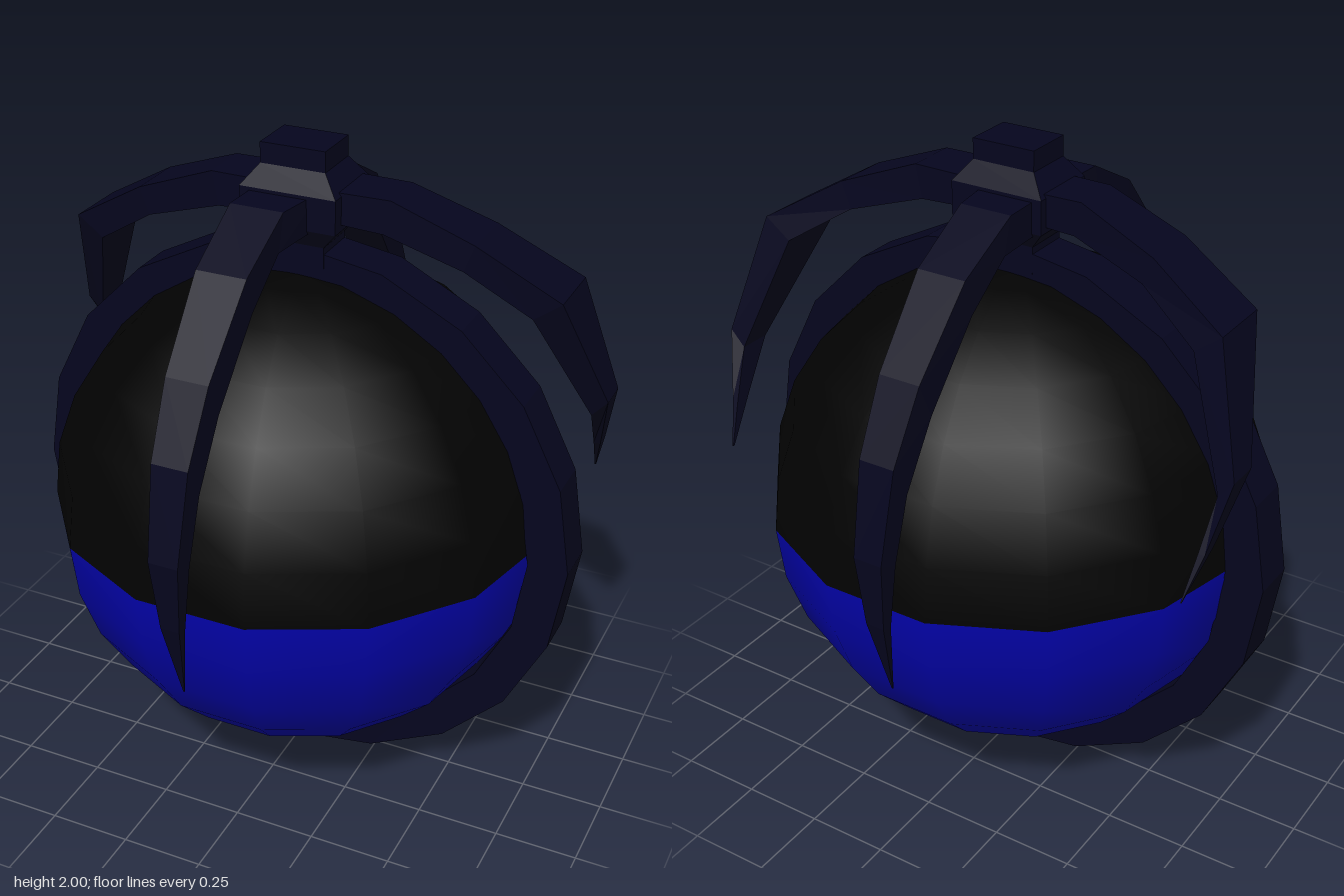
import * as THREE from 'three';

const navy = new THREE.MeshStandardMaterial({ color: 0x05051e });
navy.name = 'dark navy metal';
navy.flatShading = true;
const black = new THREE.MeshStandardMaterial({ color: 0x020202 });
black.name = 'black';
const blue = new THREE.MeshStandardMaterial({ color: 0x0202a6 });
blue.name = 'deep blue';

function add(group, name, geometry, material) {
  const mesh = new THREE.Mesh(geometry, material);
  mesh.name = name;
  group.add(mesh);
  return mesh;
}

// Regular polygon with a corner at the bottom
function polygon(PathType, radius, sides) {
  const points = [];
  for (let i = 0; i < sides; i++) {
    const a = (i / sides) * Math.PI * 2 - Math.PI / 2;
    points.push(new THREE.Vector2(Math.cos(a) * radius, Math.sin(a) * radius));
  }
  return new PathType(points);
}

// Four-sided loft. Section: [outer reach, outer height, inner reach, inner height, side a, side b]
function claw(sections, place, flip) {
  const positions = [];
  const index = [];
  for (const [ou, ov, iu, iv, a, b] of sections) {
    positions.push(...place(ou, ov, a), ...place(ou, ov, b), ...place(iu, iv, b), ...place(iu, iv, a));
  }
  const quad = (a, b, c, d) => index.push(...(flip ? [a, c, b, a, d, c] : [a, b, c, a, c, d]));
  for (let s = 0; s < sections.length - 1; s++) {
    for (let j = 0; j < 4; j++) {
      const k = (j + 1) % 4;
      quad(s * 4 + j, s * 4 + k, s * 4 + 4 + k, s * 4 + 4 + j);
    }
  }
  const e = (sections.length - 1) * 4;
  quad(0, 3, 2, 1);
  quad(e, e + 1, e + 2, e + 3);
  const geometry = new THREE.BufferGeometry();
  geometry.setAttribute('position', new THREE.Float32BufferAttribute(positions, 3));
  geometry.setIndex(index);
  const flat = geometry.toNonIndexed();
  flat.computeVertexNormals();
  return flat;
}

export function createModel() {
  const model = new THREE.Group();
  model.name = 'clawedOrb';

  // Two-tone orb
  const orb = new THREE.Group();
  orb.name = 'orb';
  orb.position.set(-0.01, 0.885, 0);
  model.add(orb);
  const half = Math.PI / 2;
  add(orb, 'upperOrb', new THREE.SphereGeometry(0.75, 14, 7, 0, Math.PI * 2, 0, half), black);
  add(orb, 'lowerOrb', new THREE.SphereGeometry(0.75, 14, 7, 0, Math.PI * 2, half, half), blue);

  // Flat ring around the orb
  const ringShape = polygon(THREE.Shape, 0.857, 20);
  ringShape.holes.push(polygon(THREE.Path, 0.737, 20));
  const ringGeometry = new THREE.ExtrudeGeometry(ringShape, { depth: 0.14, bevelEnabled: false });
  add(model, 'ring', ringGeometry, navy).position.set(-0.006, 0.857, -0.07);

  // Square stem with a wider hub
  const profile = [[0, 1.64], [0.092, 1.64], [0.092, 1.72], [0.145, 1.78], [0.145, 1.88],
    [0.098, 1.94], [0.098, 2], [0, 2]];
  const hub = add(model, 'hub', new THREE.LatheGeometry(
    profile.map(([w, y]) => new THREE.Vector2(w * Math.SQRT2, y)), 4, Math.PI / 4), navy);
  hub.scale.z = 0.78;
  hub.position.x = -0.007;

  // Long claws in front and behind
  const longClaw = [
    [0.05, 1.87, 0.05, 1.77, -0.12, 0.06],
    [0.22, 1.87, 0.25, 1.765, -0.125, 0.035],
    [0.43, 1.76, 0.4, 1.65, -0.12, 0.03],
    [0.63, 1.54, 0.58, 1.43, -0.11, 0.018],
    [0.74, 1.34, 0.685, 1.24, -0.1, 0.01],
    [0.798, 1.07, 0.735, 1.04, -0.09, 0],
    [0.778, 0.85, 0.745, 0.84, -0.073, -0.015],
    [0.715, 0.6, 0.712, 0.6, -0.047, -0.043],
  ];
  add(model, 'frontClaw', claw(longClaw, (u, v, w) => [w, v, u], true), navy);
  add(model, 'backClaw', claw(longClaw, (u, v, w) => [w, v, -u], false), navy);

  // Shorter side claws sweeping backwards
  const sideClaw = [
    [0.1, 1.89, 0.1, 1.8, -0.09, 0.075],
    [0.28, 1.89, 0.26, 1.79, -0.085, 0.07],
    [0.52, 1.8, 0.49, 1.72, -0.12, 0.06],
    [0.76, 1.66, 0.68, 1.6, -0.18, 0.02],
    [0.86, 1.3, 0.815, 1.25, -0.265, -0.165],
    [0.82, 1.1, 0.8, 1.1, -0.33, -0.28],
    [0.787, 0.97, 0.784, 0.97, -0.386, -0.38],
  ];
  add(model, 'leftClaw', claw(sideClaw, (u, v, w) => [u, v, w], false), navy);
  add(model, 'rightClaw', claw(sideClaw, (u, v, w) => [0.02 - u, v, w], true), navy);

  return model;
}
